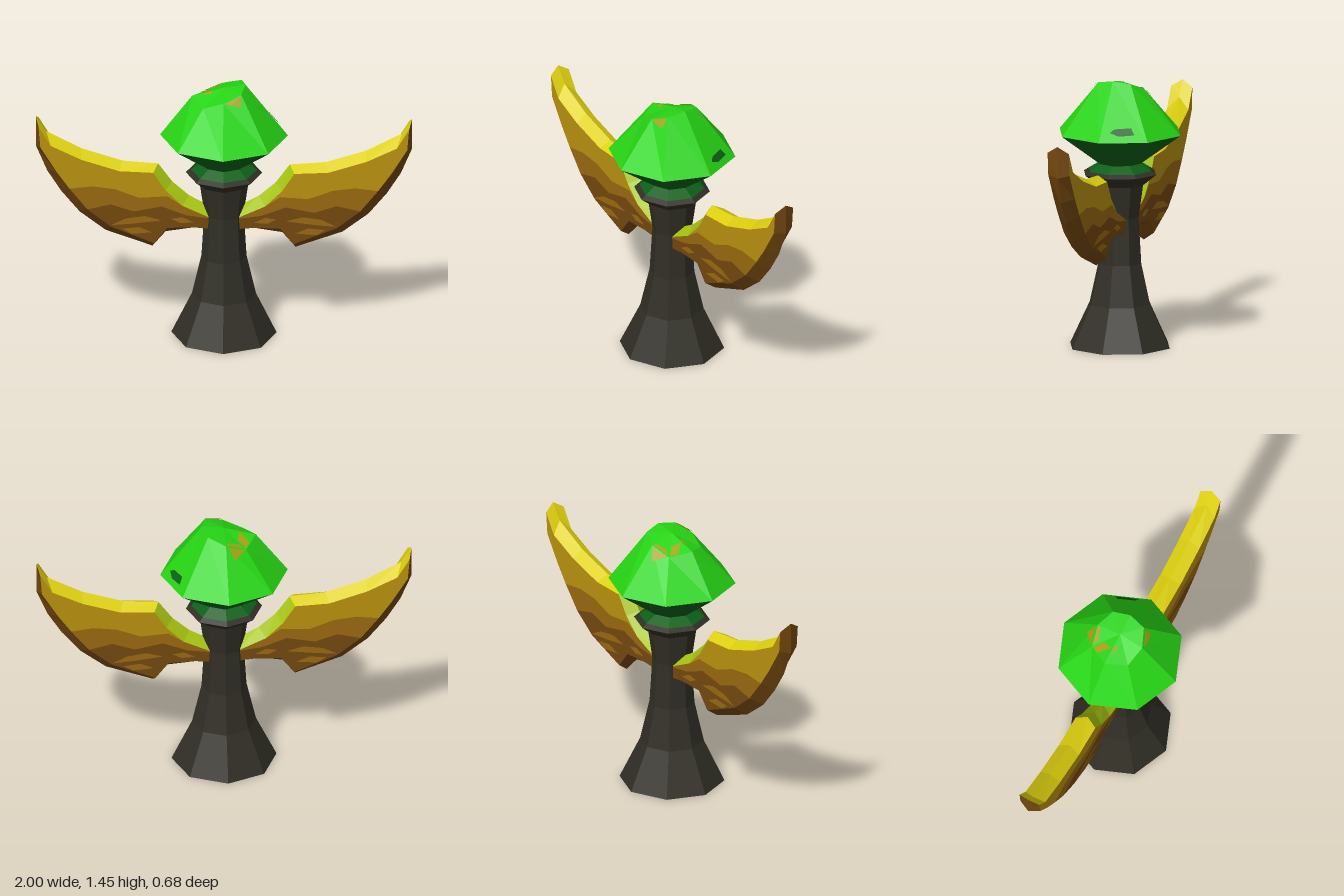
import * as THREE from 'three';

const mat = (name, color, side = THREE.FrontSide) => {
  const m = new THREE.MeshStandardMaterial({ color, flatShading: true, side });
  m.name = name;
  return m;
};

const V = (x, y, z) => new THREE.Vector3(x, y, z);

function mesh(name, geometry, material) {
  const m = new THREE.Mesh(geometry, material);
  m.name = name;
  return m;
}

// Flat-faced geometry from quads and triangles of Vector3 corners
function facets(faces) {
  const pts = [];
  for (const f of faces) for (let i = 1; i < f.length - 1; i++) pts.push(f[0], f[i], f[i + 1]);
  const g = new THREE.BufferGeometry().setFromPoints(pts);
  g.computeVertexNormals();
  return g;
}

// Eight-sided turned part, corners on the axes
function turned(name, profile, material) {
  const g = new THREE.LatheGeometry(profile.map(([r, y]) => new THREE.Vector2(r, y)), 8);
  return mesh(name, g, material);
}

// Wing outline: ridge point x, y and face point x, y, from the root over the tip and back
const OUTLINE = [
  [0.06, 0.73, 0.06, 0.69], [0.185, 0.8, 0.22, 0.765], [0.275, 0.88, 0.31, 0.855],
  [0.35, 0.985, 0.375, 0.957], [0.54, 1.0, 0.555, 0.965], [0.757, 1.07, 0.757, 1.03],
  [0.945, 1.17, 0.92, 1.11], [1, 1.257, 0.985, 1.22], [1, 1.085, 0.975, 1.1],
  [0.94, 0.94, 0.89, 0.96], [0.865, 0.82, 0.82, 0.86], [0.767, 0.7, 0.725, 0.74],
  [0.63, 0.594, 0.6, 0.64], [0.38, 0.503, 0.37, 0.545], [0.31, 0.588, 0.3, 0.635],
  [0.16, 0.612, 0.16, 0.64], [0.06, 0.6, 0.06, 0.63],
];
const HALF = 0.06;
const inner = OUTLINE.map((p) => [p[2], p[3]]);

// Borders between the colour bands, from the outer edge to the root
const BAND_A = [[0.7, 0.875], [0.58, 0.86], [0.45, 0.81], [0.3, 0.82]];
const BAND_B = [[0.6, 0.77], [0.48, 0.73], [0.33, 0.76], [0.2, 0.71]];
const FACE_BANDS = {
  gold: [...inner.slice(1, 11), ...BAND_A],
  amber: [inner[0], inner[1], ...[...BAND_A].reverse(), inner[10], inner[11], ...BAND_B],
  brown: [inner[0], ...[...BAND_B].reverse(), ...inner.slice(11)],
};

// Painted leaf-shaped streaks on the lower wing
const STREAKS = [
  [[0.33, 0.68], [0.42, 0.705], [0.52, 0.69], [0.6, 0.65], [0.48, 0.66]],
  [[0.38, 0.61], [0.45, 0.64], [0.54, 0.63], [0.49, 0.6]],
  [[0.16, 0.67], [0.22, 0.7], [0.28, 0.69], [0.23, 0.665]],
];

const RIMS = { lime: [0, 3], yellow: [3, 7], brown: [7, 16] };

// Front half of a wing on side s (+1 or -1)
function halfWing(s, M) {
  const half = new THREE.Group();
  half.name = 'wingHalf';
  const flat = (name, pts, z, m) => {
    const shape = new THREE.Shape(pts.map(([x, y]) => new THREE.Vector2(x * s, y)));
    half.add(mesh(name, new THREE.ShapeGeometry(shape).translate(0, 0, z), m));
  };
  for (const c in FACE_BANDS) flat('wingFace', FACE_BANDS[c], HALF, M[c]);
  for (const pts of STREAKS) flat('wingStreak', pts, HALF + 0.003, M.amber);

  // Sloping rims from the face to the central ridge
  for (const c in RIMS) {
    const faces = [];
    for (let i = RIMS[c][0]; i < RIMS[c][1]; i++) {
      const a = OUTLINE[i], b = OUTLINE[i + 1];
      const quad = [
        V(a[2] * s, a[3], HALF), V(b[2] * s, b[3], HALF),
        V(b[0] * s, b[1], 0), V(a[0] * s, a[1], 0),
      ];
      faces.push(s > 0 ? quad : quad.reverse());
    }
    half.add(mesh('wingRim', facets(faces), M[c]));
  }
  return half;
}

function wing(s, M) {
  const g = new THREE.Group();
  g.name = s > 0 ? 'leftWing' : 'rightWing';
  const back = halfWing(-s, M);
  back.rotation.y = Math.PI;
  g.add(halfWing(s, M), back);
  return g;
}

function crystal(M) {
  const g = new THREE.Group();
  g.name = 'crystal';

  // Wide girdle and a smaller tilted crown
  const low = [], top = [];
  const crown = [[0.115, 1.45], [0.132, 1.435], [0.135, 1.4], [0.155, 1.358], [0.17, 1.383]];
  for (let j = 0; j < 8; j++) {
    const a = (j * Math.PI) / 4;
    const [r, y] = crown[j <= 4 ? j : 8 - j];
    low.push(V(0.34 * Math.cos(a), 1.155, 0.34 * Math.sin(a)));
    top.push(V(r * Math.cos(a), y, r * Math.sin(a)));
  }
  const apex = V(0, 1.432, 0);
  const faces = [];
  for (let j = 0; j < 8; j++) {
    const k = (j + 1) % 8;
    faces.push([low[j], top[j], top[k], low[k]], [apex, top[k], top[j]]);
  }
  g.add(mesh('crystalTop', facets(faces), M.green));
  g.add(turned('crystalUnderside', [[0.115, 0.99], [0.34, 1.155]], M.darkGreen));

  // Thin painted patches; u runs around a facet, v from girdle to crown
  const patch = (name, j, uv, m) => {
    const k = (j + 1) % 8;
    const out = low[j].clone().add(low[k]).setY(0).normalize().multiplyScalar(0.005).setY(0.004);
    const pts = uv.map(([u, v]) => low[j].clone().lerp(low[k], u)
      .lerp(top[j].clone().lerp(top[k], u), v).add(out));
    g.add(mesh(name, facets([pts]), m));
  };
  patch('yellowPatch', 1, [[0.05, 0.98], [0.95, 0.98], [0.6, 0.9], [0.25, 0.82]], M.ochre);
  patch('yellowPatch', 5, [[0.1, 0.98], [0.9, 0.98], [0.7, 0.75], [0.5, 0.9]], M.ochre);
  patch('darkPatch', 7, [[0.25, 0.12], [0.3, 0.24], [0.7, 0.22], [0.8, 0.16], [0.6, 0.1]], M.darkGreen);

  const crownPatch = (j, spots) => {
    const k = (j + 1) % 8;
    const pts = spots.map(([u, r]) => apex.clone().lerp(top[j].clone().lerp(top[k], u), r)
      .add(V(0, 0.004, 0)));
    g.add(mesh('crownPatch', facets([pts]), M.ochre));
  };
  crownPatch(4, [[0.1, 0.5], [0.9, 0.6], [0.95, 0.98], [0.6, 0.98]]);
  crownPatch(3, [[0.5, 0.45], [0.95, 0.4], [0.8, 0.75]]);
  crownPatch(5, [[0.2, 0.8], [0.9, 0.85], [0.95, 0.98], [0.05, 0.98]]);
  return g;
}

export function createModel() {
  const D = THREE.DoubleSide;
  const M = {
    stone: mat('dark stone', 0x302e25),
    green: mat('bright green', 0x26d414),
    darkGreen: mat('deep green', 0x0c6018, D),
    gold: mat('gold', 0xb9910f),
    amber: mat('amber brown', 0x99680f),
    brown: mat('dark brown', 0x74480f),
    yellow: mat('yellow', 0xdccf0e),
    lime: mat('lime', 0xa6c410),
    ochre: mat('ochre', 0xa8a012, D),
  };
  const model = new THREE.Group();
  model.name = 'wingedTotem';

  // Flared pillar with a collar
  model.add(turned('pillar', [
    [0, 0], [0.28, 0], [0.17, 0.23], [0.12, 0.45], [0.105, 0.7],
    [0.13, 0.875], [0.203, 0.935], [0.175, 0.953],
  ], M.stone));
  model.add(turned('neck', [[0.175, 0.953], [0.115, 0.99]], M.darkGreen));

  model.add(crystal(M), wing(1, M), wing(-1, M));
  return model;
}
